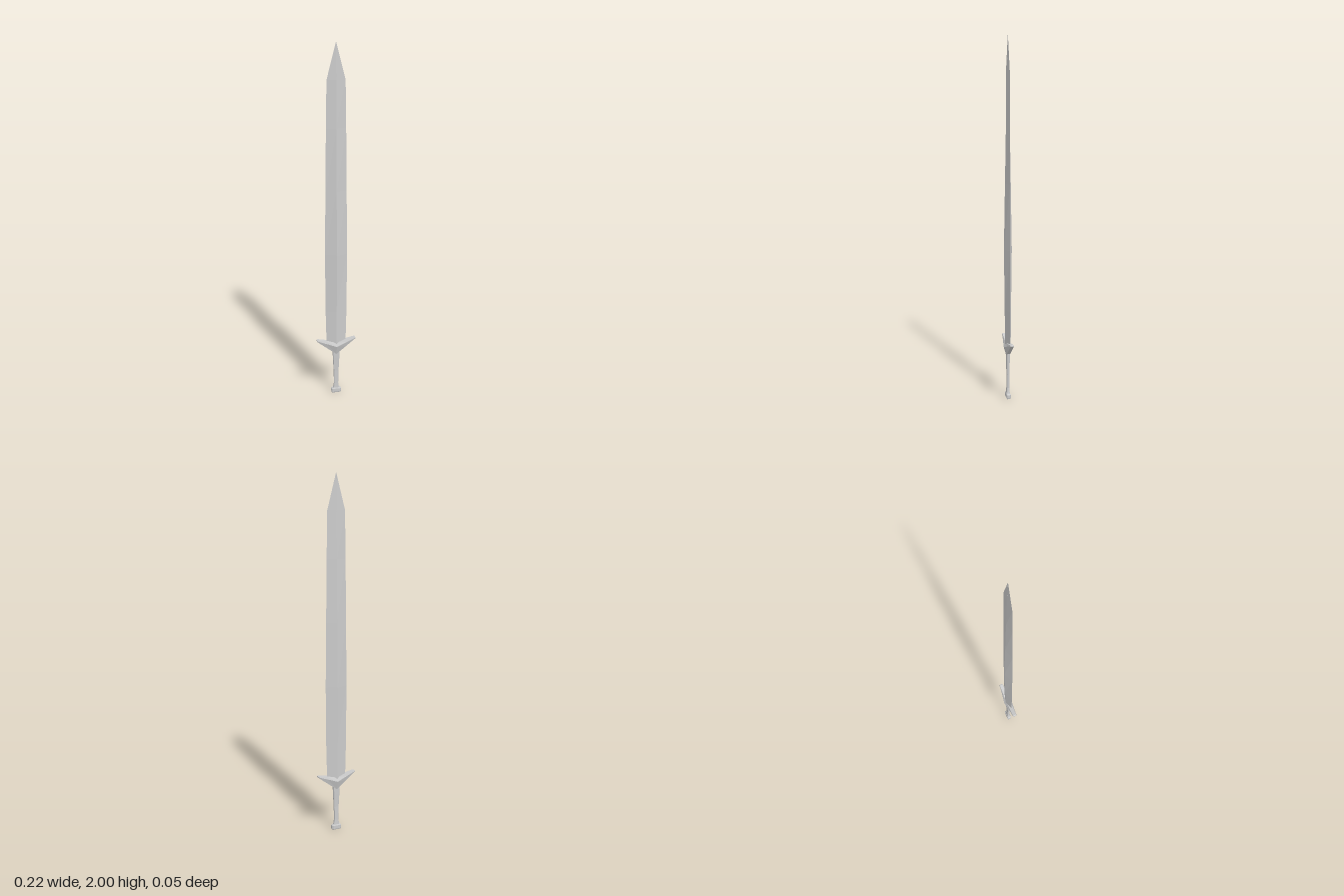
import * as THREE from 'three';

const material = new THREE.MeshStandardMaterial({ color: 0xcccccc, flatShading: true });

// Skin a series of equal-sized rings of [x, y, z] points, capping both ends.
// Rings run counter-clockwise around the direction of travel.
function loft(name, rings) {
  const positions = [];
  const tri = (a, b, c) => positions.push(...a, ...b, ...c);
  const n = rings[0].length;
  for (let r = 0; r < rings.length - 1; r++) {
    const lower = rings[r], upper = rings[r + 1];
    for (let i = 0; i < n; i++) {
      const j = (i + 1) % n;
      tri(lower[i], lower[j], upper[j]);
      tri(lower[i], upper[j], upper[i]);
    }
  }
  const first = rings[0], last = rings[rings.length - 1];
  for (let i = 1; i < n - 1; i++) {
    tri(first[0], first[i + 1], first[i]);
    tri(last[0], last[i], last[i + 1]);
  }
  const geometry = new THREE.BufferGeometry();
  geometry.setAttribute('position', new THREE.Float32BufferAttribute(positions, 3));
  geometry.computeVertexNormals();
  const mesh = new THREE.Mesh(geometry, material);
  mesh.name = name;
  return mesh;
}

// Diamond section of half-width w and half-depth d at height y
const diamond = ([y, w, d]) => [[0, y, d], [w, y, 0], [0, y, -d], [-w, y, 0]];

// Rectangular section with cut corners
const chamfered = ([y, w, d]) => {
  const c = Math.min(w, d) * 0.4;
  return [
    [w - c, y, d], [w, y, d - c], [w, y, c - d], [w - c, y, -d],
    [c - w, y, -d], [-w, y, c - d], [-w, y, d - c], [c - w, y, d],
  ];
};

// Guard section at x: top, ridge and bottom edges, each with its half-depth
const guardSection = ([x, top, topD, ridge, ridgeD, bottom, bottomD]) => [
  [x, top, -topD], [x, top, topD], [x, ridge, ridgeD],
  [x, bottom, bottomD], [x, bottom, -bottomD], [x, ridge, -ridgeD],
];

export function createModel() {
  const sword = new THREE.Group();
  sword.name = 'sword';

  // Blade: swelling slightly above the guard, then tapering to a point
  sword.add(loft('blade', [
    [0.30, 0.055, 0.016], [0.52, 0.06, 0.018], [0.86, 0.062, 0.022],
    [1.22, 0.058, 0.016], [1.56, 0.054, 0.010], [1.81, 0.05, 0.005], [2.0, 0.0005, 0.0005],
  ].map(diamond)));

  // Guard: upswept wings with a raised ridge in the middle
  const wing = [
    [0.112, 0.345, 0.008, 0.342, 0.009, 0.339, 0.008],
    [0.105, 0.347, 0.010, 0.341, 0.012, 0.334, 0.010],
    [0.06, 0.337, 0.011, 0.324, 0.016, 0.298, 0.010],
  ];
  const mirrored = wing.map(([x, ...rest]) => [-x, ...rest]);
  const middle = [0, 0.325, 0.012, 0.302, 0.024, 0.25, 0.009];
  sword.add(loft('guard', [...mirrored, middle, ...wing.slice().reverse()].map(guardSection)));

  // Grip: waisted, flaring into the guard and the pommel
  sword.add(loft('grip', [
    [0.02, 0.02, 0.009], [0.04, 0.015, 0.008], [0.06, 0.012, 0.007],
    [0.14, 0.014, 0.006], [0.22, 0.018, 0.008], [0.28, 0.02, 0.009],
  ].map(chamfered)));

  // Pommel: small cut-cornered block
  sword.add(loft('pommel', [
    [0, 0.026, 0.010], [0.005, 0.028, 0.012], [0.024, 0.028, 0.012], [0.03, 0.022, 0.009],
  ].map(chamfered)));

  return sword;
}
